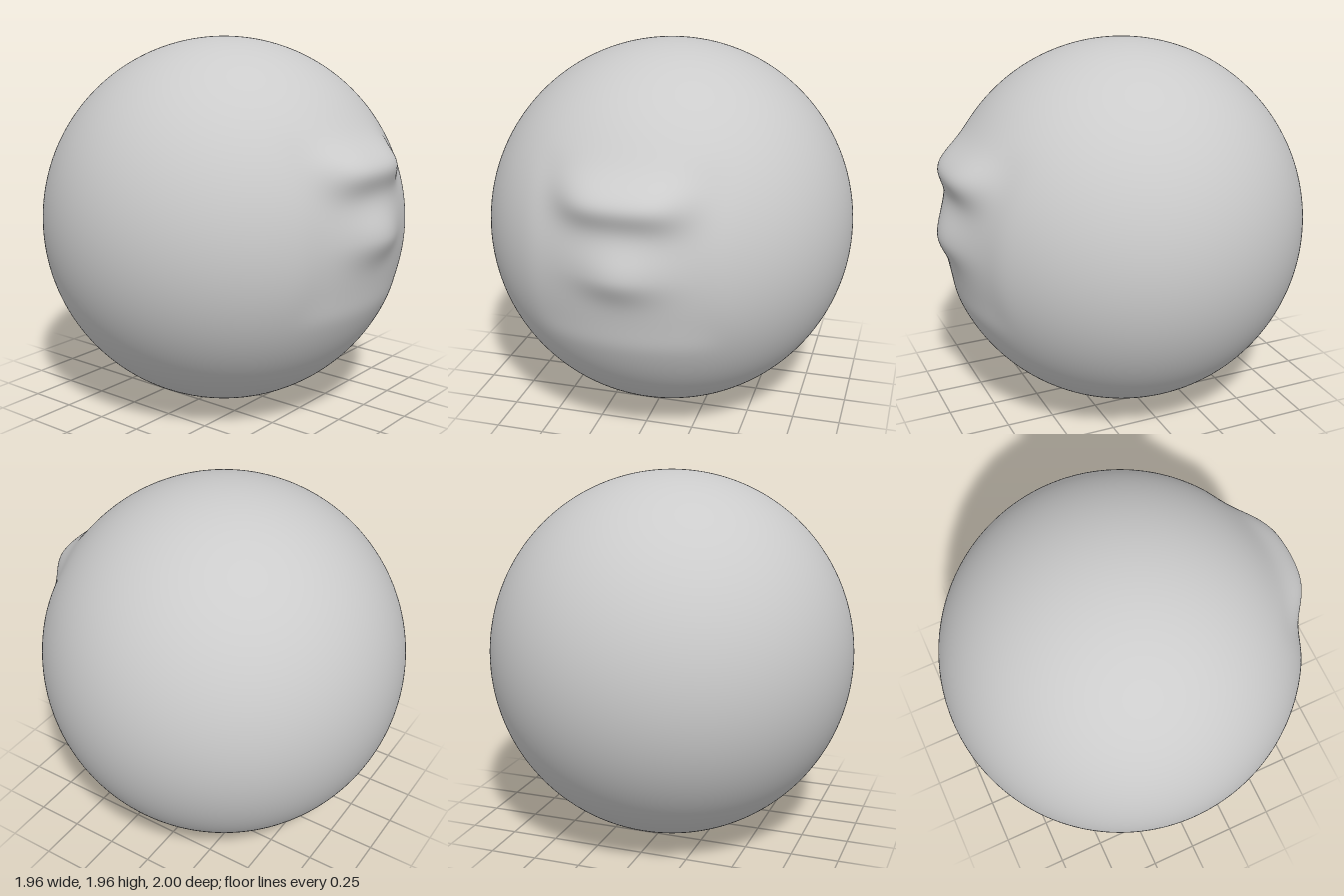
import * as THREE from 'three';
import { mergeVertices } from 'three/addons/utils/BufferGeometryUtils.js';

const R = 0.98;
const bell = (t, width) => Math.exp(-0.5 * (t / width) ** 2);
const plateau = (t, width) => Math.exp(-((t / width) ** 4));

// Forward relief of the face, measured from the ball's surface
function relief(x, y) {
  const hollow = -0.018 * Math.exp(-((x / 0.44) ** 8)) * Math.exp(-(((y - 1.09) / 0.41) ** 8));
  const brow = 0.098 * plateau(x, 0.32) * bell(y - 1.37, 0.08);
  const nose = 0.058 * bell(x, 0.15) * bell(y - 1.02, y > 1.02 ? 0.11 : 0.08);
  return hollow + brow + nose;
}

export function createModel() {
  const group = new THREE.Group();
  group.name = 'ballHead';

  // Ball pushed in and out along z on its front half
  let geometry = new THREE.SphereGeometry(R, 256, 192);
  geometry.deleteAttribute('uv');
  geometry.deleteAttribute('normal');
  geometry = mergeVertices(geometry, 1e-5);
  geometry.translate(0, R, -0.02);
  const p = geometry.attributes.position;
  for (let i = 0; i < p.count; i++) {
    if (p.getZ(i) > 0) p.setZ(i, p.getZ(i) + relief(p.getX(i), p.getY(i)));
  }
  geometry.computeVertexNormals();

  const head = new THREE.Mesh(geometry, new THREE.MeshStandardMaterial({ color: 0xcccccc }));
  head.name = 'head';
  group.add(head);
  return group;
}
